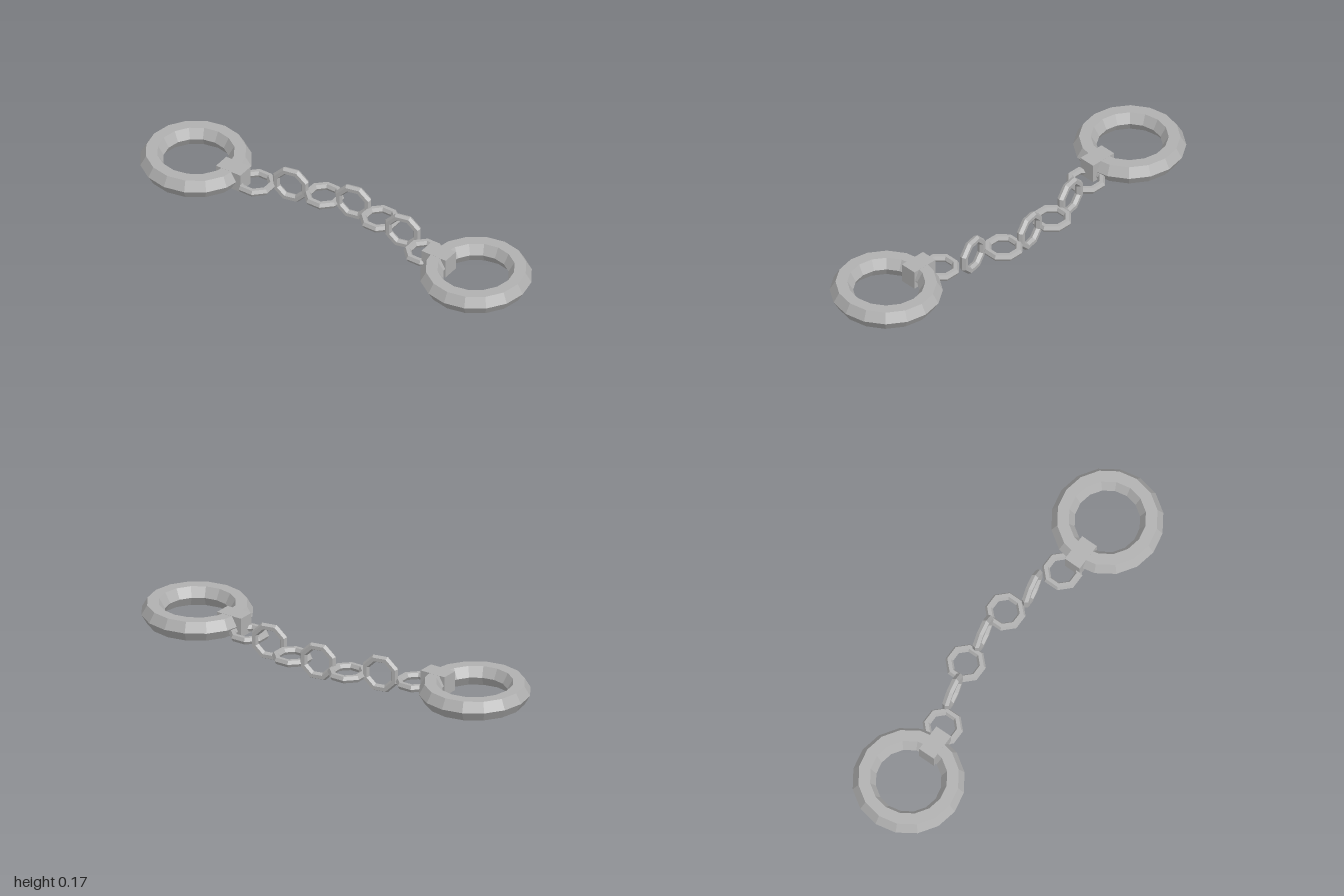
import * as THREE from 'three';

export function createModel() {
  const model = new THREE.Group();
  model.name = 'shackles';
  const iron = new THREE.MeshStandardMaterial({ color: 0xb0b0b0, flatShading: true });
  iron.name = 'iron';

  const add = (name, geometry, x, y, z) => {
    const mesh = new THREE.Mesh(geometry, iron);
    mesh.name = name;
    mesh.position.set(x, y, z);
    model.add(mesh);
    return mesh;
  };

  // Two faceted cuffs, each with a block that anchors the chain
  const cuffGeometry = new THREE.TorusGeometry(0.198, 0.052, 6, 16).rotateX(Math.PI / 2);
  const blockGeometry = new THREE.BoxGeometry(0.13, 0.091, 0.08);
  for (const [side, s] of [['left', 1], ['right', -1]]) {
    add(side + 'Cuff', cuffGeometry, s * 0.75, 0.085, 0);
    add(side + 'ChainBlock', blockGeometry, s * 0.55, 0.085, 0);
  }

  // Seven links along a shallow arc, alternately lying flat and standing
  const linkGeometry = new THREE.TorusGeometry(0.074, 0.018, 6, 8).rotateZ(Math.PI / 8);
  for (let i = 0; i < 7; i++) {
    const flat = i % 2 === 0;
    const x = (i - 3) * 0.15;
    const z = -0.136 * Math.sin(Math.PI * (i + 0.5) / 7);
    const link = add(flat ? 'flatLink' : 'standingLink', linkGeometry, x, flat ? 0.063 : 0.085, z);
    if (flat) link.rotation.x = Math.PI / 2;
    else link.rotation.y = 0.2;
  }

  return model;
}
